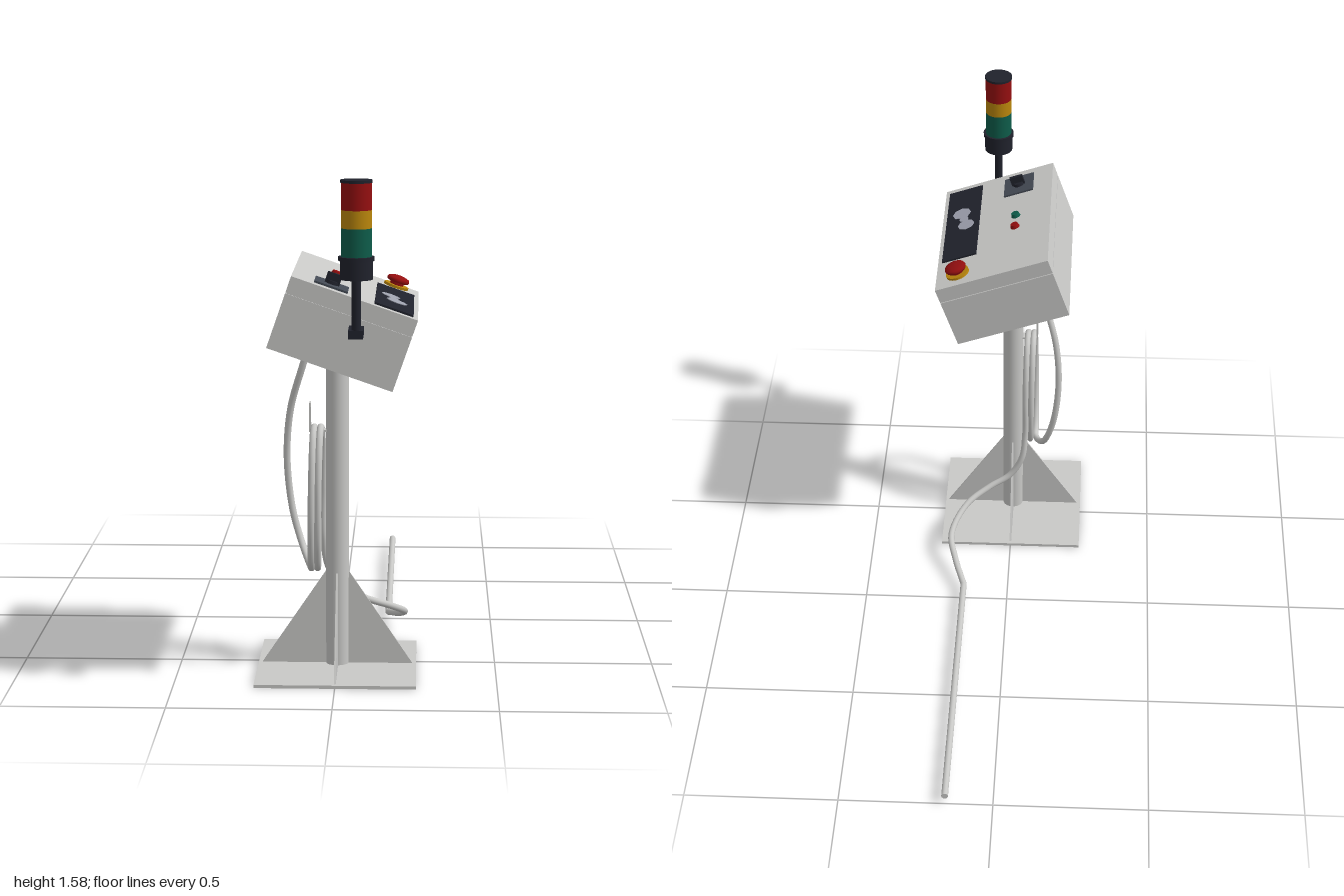
import * as THREE from 'three';

const mat = (name, color) => Object.assign(new THREE.MeshStandardMaterial({ color }), { name });

export function createModel() {
  const grey = mat('painted steel', 0xc8c8c6);
  const black = mat('black plastic', 0x20222c);
  const slate = mat('switch plate', 0x444a54);
  const silver = mat('display symbol', 0x9ea1ae);
  const red = mat('red', 0x940f10);
  const yellow = mat('yellow', 0xba860c);
  const green = mat('green', 0x0e5c4a);

  const model = new THREE.Group();
  const add = (parent, name, geo, material, x = 0, y = 0, z = 0) => {
    const m = new THREE.Mesh(geo, material);
    m.name = name;
    m.position.set(x, y, z);
    parent.add(m);
    return m;
  };
  const box = (w, h, d) => new THREE.BoxGeometry(w, h, d);
  const cyl = (r0, r1, h, n = 32) => new THREE.CylinderGeometry(r0, r1, h, n);
  const Z = 0.545; // depth of the post axis

  // Stand: foot plate, post and four gussets
  const stand = new THREE.Group();
  stand.name = 'stand';
  stand.position.z = Z;
  model.add(stand);
  add(stand, 'footPlate', box(0.5, 0.01, 0.5), grey, 0, 0.005);
  add(stand, 'post', cyl(0.036, 0.036, 1.07), grey, 0, 0.545);
  const rib = new THREE.Shape([[0.03, 0.01], [0.238, 0.01], [0.036, 0.31], [0.03, 0.31]]
    .map(([x, y]) => new THREE.Vector2(x, y)));
  for (let i = 0; i < 4; i++) {
    const geo = new THREE.ExtrudeGeometry(rib, { depth: 0.006, bevelEnabled: false });
    geo.translate(0, 0, -0.003);
    add(stand, 'gusset', geo, grey).rotation.y = i * Math.PI / 2;
  }

  // Cable hanger behind the coil
  add(stand, 'hangerArm', box(0.055, 0.006, 0.03), grey, -0.06, 0.762);
  add(stand, 'hangerLip', box(0.005, 0.092, 0.03), grey, -0.085, 0.805);

  // Sloping control box: body, seam core and lid
  const desk = new THREE.Group();
  desk.name = 'controlBox';
  desk.position.set(0.025, 1.114, Z);
  desk.rotation.z = THREE.MathUtils.degToRad(-19.2);
  model.add(desk);
  add(desk, 'boxBody', box(0.398, 0.174, 0.63), grey, 0, -0.027);
  add(desk, 'seam', box(0.39, 0.02, 0.622), grey, 0, 0.062);
  add(desk, 'lid', box(0.398, 0.051, 0.63), grey, 0, 0.0885);

  // Panel fittings on the lid
  const T = 0.114;
  add(desk, 'displayPanel', box(0.122, 0.006, 0.44), black, 0.122, T + 0.003, 0.61 - Z);
  [[0.108, 0.59, 0.03], [0.128, 0.67, 0.033], [0.118, 0.63, 0.017]].forEach(([x, z, r]) =>
    add(desk, 'displaySymbol', cyl(r, r, 0.003, 8), silver, x, T + 0.0065, z - Z));
  add(desk, 'switchPlate', box(0.106, 0.006, 0.11), slate, -0.077, T + 0.003, 0.767 - Z);
  add(desk, 'switchBase', cyl(0.018, 0.02, 0.012, 24), black, -0.077, T + 0.01, 0.767 - Z);
  add(desk, 'switchHandle', box(0.046, 0.034, 0.012), black, -0.077, T + 0.022, 0.767 - Z);
  [[red, 0.5, 'redLamp'], [green, 0.57, 'greenLamp']].forEach(([m, z, name]) => {
    add(desk, name, cyl(0.013, 0.016, 0.012, 24), m, -0.073, T + 0.006, z - Z);
  });
  add(desk, 'stopRing', cyl(0.04, 0.04, 0.008), yellow, 0.122, T + 0.004, 0.3 - Z);
  add(desk, 'stopStem', cyl(0.022, 0.022, 0.02), red, 0.122, T + 0.014, 0.3 - Z);
  const cap = [[0, 0.018], [0.034, 0.018], [0.037, 0.024], [0.034, 0.031], [0.02, 0.036], [0, 0.037]];
  add(desk, 'stopButton', new THREE.LatheGeometry(cap.map(([x, y]) => new THREE.Vector2(x, y)), 32),
    red, 0.122, T, 0.3 - Z);

  // Signal tower on its bracket
  const tower = new THREE.Group();
  tower.name = 'signalTower';
  tower.position.set(0.07, 0, 0.945);
  model.add(tower);
  add(tower, 'bracketArm', box(0.044, 0.026, 0.1), black, -0.002, 1.127, -0.036);
  add(tower, 'pole', cyl(0.014, 0.014, 0.18, 24), black, 0, 1.205);
  [
    ['towerBase', 0.048, 1.29, 1.35, black],
    ['towerCollar', 0.053, 1.345, 1.357, black],
    ['greenLight', 0.045, 1.357, 1.44, green],
    ['yellowLight', 0.045, 1.44, 1.493, yellow],
    ['redLight', 0.045, 1.493, 1.572, red],
    ['towerCap', 0.047, 1.572, 1.58, black],
  ].forEach(([name, r, y0, y1, m]) => add(tower, name, cyl(r, r, y1 - y0), m, 0, (y0 + y1) / 2));

  // Cable: drops from the box, coils on the hanger, then runs to the floor
  const V = (x, y, z) => new THREE.Vector3(x, y, z);
  const path = [V(-0.08, 1.06, 0.475), V(-0.11, 0.96, 0.47), V(-0.152, 0.81, 0.44),
    V(-0.165, 0.65, 0.42), V(-0.148, 0.48, 0.42), V(-0.115, 0.37, 0.45)];
  const steps = 28;
  for (let i = 0; i <= steps; i++) {
    const t = i / steps * 1.75 * Math.PI * 2;
    path.push(V(-0.083 + 0.036 * i / steps, 0.545 - 0.226 * Math.cos(t), 0.542 + 0.103 * Math.sin(t)));
  }
  path.push(V(-0.047, 0.4, 0.44), V(-0.035, 0.3, 0.43), V(0.01, 0.225, 0.424), V(0.08, 0.185, 0.405),
    V(0.16, 0.145, 0.35), V(0.21, 0.095, 0.24), V(0.19, 0.06, 0.14), V(0.155, 0.034, 0.035));
  const R = 0.011;
  add(model, 'coiledCable', new THREE.TubeGeometry(new THREE.CatmullRomCurve3(path), 320, R, 12), grey);
  add(model, 'cableBend', new THREE.SphereGeometry(R, 12, 8), grey, 0.155, 0.034, 0.035);
  add(model, 'floorCable', cyl(R, R, 1.035, 12), grey, 0.155, 0.034, -0.4825).rotation.x = Math.PI / 2;

  return model;
}
